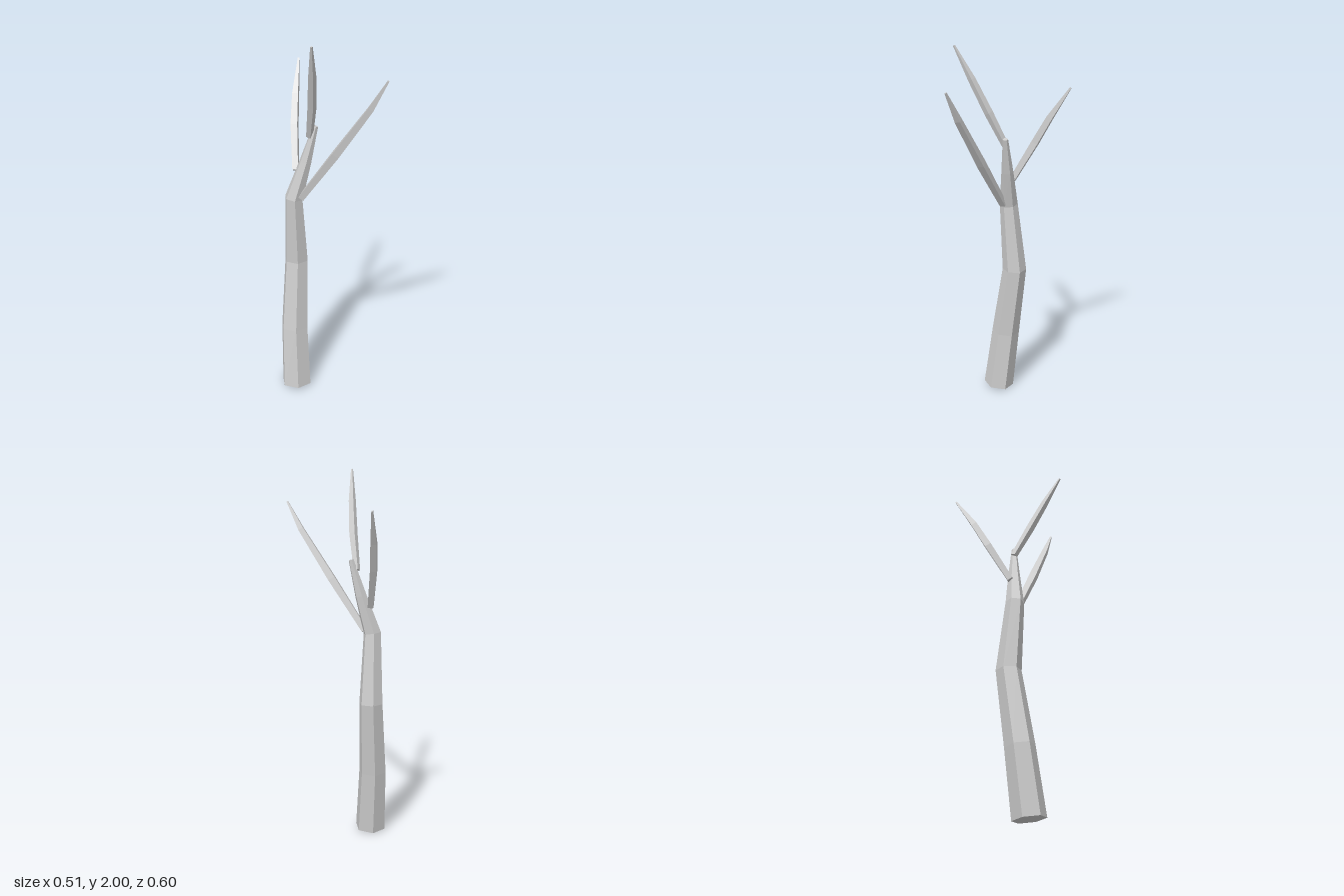
import * as THREE from 'three';

const material = new THREE.MeshStandardMaterial({ color: 0xcccccc, flatShading: true });

// Capped limb swept through stations [x, y, z, radius]; each ring is square to the path.
function limb(name, sides, phase, stations) {
  const centres = stations.map(([x, y, z]) => new THREE.Vector3(x, y, z));
  const last = centres.length - 1;
  const positions = [];
  const indices = [];

  centres.forEach((centre, i) => {
    const along = new THREE.Vector3();
    if (i > 0) along.add(centre.clone().sub(centres[i - 1]).normalize());
    if (i < last) along.add(centres[i + 1].clone().sub(centre).normalize());
    along.normalize();
    const u = new THREE.Vector3(1, 0, 0).addScaledVector(along, -along.x).normalize();
    const v = along.clone().cross(u);
    for (let k = 0; k < sides; k++) {
      const a = phase + (k / sides) * Math.PI * 2;
      const p = centre.clone()
        .addScaledVector(u, Math.cos(a) * stations[i][3])
        .addScaledVector(v, Math.sin(a) * stations[i][3]);
      positions.push(p.x, p.y, p.z);
    }
  });

  // side walls
  for (let i = 0; i < last; i++) {
    for (let k = 0; k < sides; k++) {
      const a = i * sides + k;
      const b = i * sides + ((k + 1) % sides);
      indices.push(a, b, b + sides, a, b + sides, a + sides);
    }
  }
  // end caps
  const top = last * sides;
  for (let k = 1; k < sides - 1; k++) {
    indices.push(0, k + 1, k, top, top + k, top + k + 1);
  }

  const indexed = new THREE.BufferGeometry();
  indexed.setAttribute('position', new THREE.Float32BufferAttribute(positions, 3));
  indexed.setIndex(indices);
  const geometry = indexed.toNonIndexed();
  geometry.computeVertexNormals();
  const mesh = new THREE.Mesh(geometry, material);
  mesh.name = name;
  return mesh;
}

export function createModel() {
  const tree = new THREE.Group();
  tree.name = 'bareTree';

  // bent six-sided trunk
  tree.add(limb('trunk', 6, Math.PI / 6 + Math.PI / 3, [
    [-0.183, 0.011, 0.083, 0.085],
    [-0.185, 0.36, 0.041, 0.077],
    [-0.163, 0.76, -0.010, 0.066],
    [-0.174, 1.14, 0.022, 0.049],
    [-0.112, 1.34, 0.026, 0.032],
    [-0.060, 1.53, 0.033, 0.014],
  ]));

  // slender four-sided branches
  tree.add(limb('leftBranch', 4, 0.4, [
    [-0.138, 1.15, 0.050, 0.022],
    [0.025, 1.42, 0.152, 0.027],
    [0.178, 1.68, 0.247, 0.020],
    [0.247, 1.827, 0.296, 0.006],
  ]));
  tree.add(limb('frontBranch', 4, 0.1, [
    [-0.090, 1.475, 0.028, 0.018],
    [-0.087, 1.66, 0.120, 0.023],
    [-0.095, 1.83, 0.205, 0.020],
    [-0.108, 1.997, 0.293, 0.006],
  ]));
  tree.add(limb('backBranch', 4, 0.5, [
    [-0.160, 1.285, 0.000, 0.021],
    [-0.151, 1.49, -0.118, 0.025],
    [-0.135, 1.63, -0.195, 0.022],
    [-0.106, 1.79, -0.297, 0.006],
  ]));

  return tree;
}
